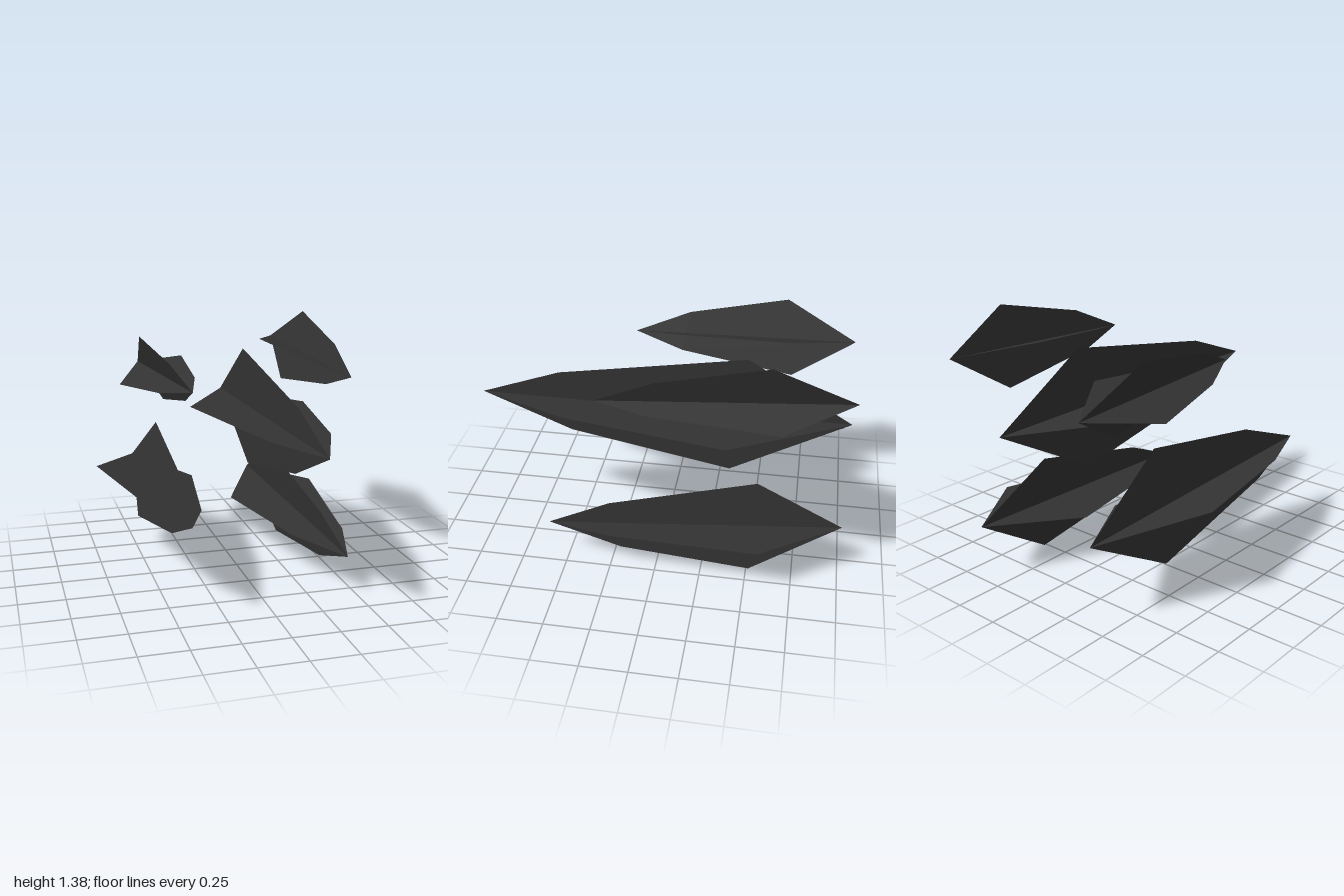
import * as THREE from 'three';

// Blade outline for a unit-long shard: x across, y from back tip to front tip
const outline = [
  [0, 0], [0.177, 0.315], [0.098, 0.755], [0, 1], [-0.079, 0.785], [-0.166, 0.28],
].map(([x, y]) => new THREE.Vector2(x, y));

// Each shard: back tip, front tip, directions (degrees about z) of its two blades' broad sides
const shards = [
  { name: 'centreShard', back: [0.165, 0.86, -1], front: [0.17, 0.88, 1], angles: [0.8, -89.2] },
  { name: 'lowerRightShard', back: [-0.43, 0.455, -1], front: [-0.425, 0.515, 0.74], angles: [169, 79] },
  { name: 'upperRightShard', back: [-0.38, 1.06, -1], front: [-0.3, 1.075, 0.23], angles: [200.8, 110.8] },
  { name: 'upperLeftShard', back: [0.51, 1.195, -1], front: [0.56, 1.125, 0.285], angles: [165, 75] },
  { name: 'lowerLeftShard', back: [0.35, 0.32, -1], front: [0.44, 0.23, 0.6], angles: [185.3, 275.3] },
];

export function createModel() {
  const model = new THREE.Group();
  model.name = 'shardCluster';
  const material = new THREE.MeshStandardMaterial({
    color: 0x333333, flatShading: true, side: THREE.DoubleSide,
  });
  const blade = new THREE.ShapeGeometry(new THREE.Shape(outline));

  for (const { name, back, front, angles } of shards) {
    const shard = new THREE.Group();
    shard.name = name;
    const start = new THREE.Vector3(...back);
    const axis = new THREE.Vector3(...front).sub(start);
    const length = axis.length();
    axis.normalize();

    // Two flat blades crossing along the shard's axis
    angles.forEach((degrees, i) => {
      const a = THREE.MathUtils.degToRad(degrees);
      const across = new THREE.Vector3(Math.cos(a), Math.sin(a), 0);
      across.addScaledVector(axis, -across.dot(axis)).normalize();
      const normal = new THREE.Vector3().crossVectors(across, axis);
      const mesh = new THREE.Mesh(blade, material);
      mesh.name = i === 0 ? 'flatBlade' : 'uprightBlade';
      mesh.quaternion.setFromRotationMatrix(new THREE.Matrix4().makeBasis(across, axis, normal));
      mesh.scale.setScalar(length);
      mesh.position.copy(start);
      shard.add(mesh);
    });
    model.add(shard);
  }
  return model;
}
